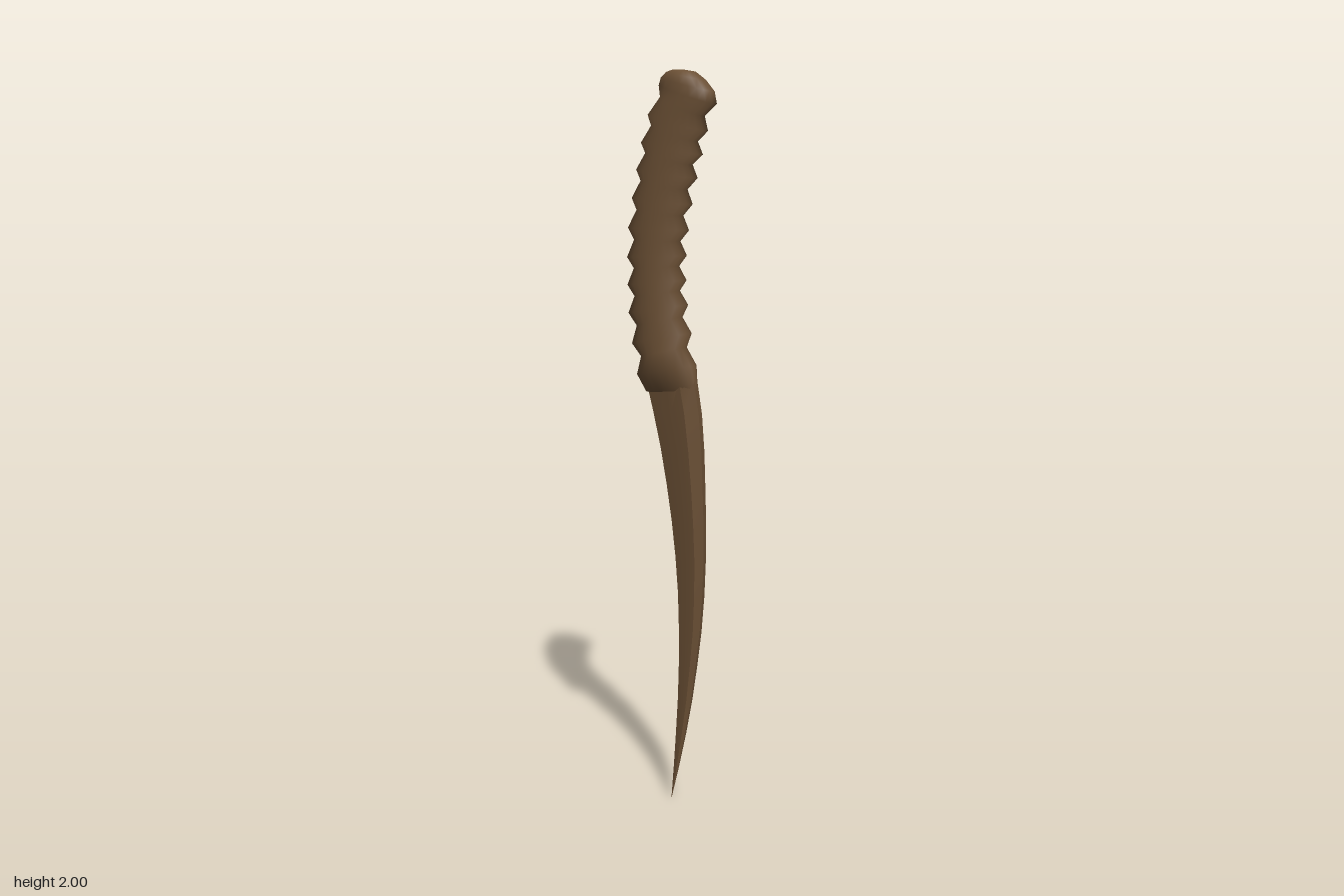
import * as THREE from 'three';
import { toCreasedNormals } from 'three/addons/utils/BufferGeometryUtils.js';

// Skin a row of cross-sections. Each ring is [leftX, leftY, rightX, rightY, halfDepth];
// section holds [across, depth] pairs in -1..1, running from +x towards +z.
function loft(rings, section) {
  const pos = [], idx = [], n = section.length;
  for (const [lx, ly, rx, ry, d] of rings) {
    for (const [u, w] of section) {
      const t = (u + 1) / 2;
      pos.push(lx + (rx - lx) * t, ly + (ry - ly) * t, d * w);
    }
  }
  for (let i = 0; i < rings.length - 1; i++) {
    for (let j = 0; j < n; j++) {
      const a = i * n + j, b = i * n + (j + 1) % n;
      idx.push(a, a + n, b, b, a + n, b + n);
    }
  }
  const geo = new THREE.BufferGeometry();
  geo.setAttribute('position', new THREE.Float32BufferAttribute(pos, 3));
  geo.setIndex(idx);
  geo.computeVertexNormals();
  return geo;
}

export function createModel() {
  const group = new THREE.Group();
  const horn = new THREE.MeshStandardMaterial({ color: 0x6b5035 });
  horn.name = 'horn brown';

  // Curved blade: sharp edge on -x, blunt spine on +x
  const bladeSection = [[1, 0.4], [0.5, 1], [-0.1, 0.75], [-1, 0], [-0.1, -0.75], [0.5, -1], [1, -0.4]];
  const outline = [ // y, left x, right x, half depth
    [0, 0, 0, 0], [0.1, 0.008, 0.024, 0.005], [0.2, 0.015, 0.046, 0.008], [0.3, 0.021, 0.065, 0.01],
    [0.4, 0.024, 0.08, 0.012], [0.5, 0.024, 0.093, 0.013], [0.6, 0.021, 0.101, 0.015],
    [0.7, 0.013, 0.105, 0.016], [0.8, 0.001, 0.105, 0.018], [0.9, -0.015, 0.102, 0.019],
    [1, -0.034, 0.098, 0.021], [1.1, -0.058, 0.09, 0.022], [1.19, -0.082, 0.075, 0.022],
  ];
  const bladeGeo = loft(outline.map(([y, l, r, d]) => [l, y, r, y, d]), bladeSection);
  const blade = new THREE.Mesh(toCreasedNormals(bladeGeo, 0.45), horn);
  blade.name = 'blade';
  group.add(blade);

  // Ridged grip: crests paired left and right, with a shallower ring between each
  const crests = [
    [-0.103, 1.197, 0.073, 1.23], [-0.119, 1.28, 0.058, 1.315], [-0.13, 1.362, 0.047, 1.39],
    [-0.133, 1.438, 0.042, 1.455], [-0.134, 1.512, 0.043, 1.52], [-0.131, 1.591, 0.05, 1.586],
    [-0.119, 1.67, 0.061, 1.654], [-0.105, 1.745, 0.076, 1.722], [-0.09, 1.815, 0.092, 1.782],
    [-0.069, 1.887, 0.107, 1.842], [-0.035, 1.962, 0.133, 1.91],
  ];
  const depth = (i) => 0.052 - 0.01 * i / (crests.length - 1);
  const rings = [[-0.079, 1.15, 0.082, 1.165, 0.02]];
  crests.forEach((c, i) => {
    rings.push([...c, depth(i)]);
    const next = crests[i + 1];
    if (!next) return;
    const m = c.map((v, k) => (v + next[k]) / 2);
    rings.push([m[0] + 0.022, m[1] + 0.008, m[2] - 0.024, m[3] + 0.004, depth(i + 0.5)]);
  });
  // Rounded pommel top
  rings.push([-0.028, 1.982, 0.126, 1.942, 0.042], [-0.012, 1.995, 0.1, 1.972, 0.037],
    [0.005, 2, 0.07, 1.994, 0.025], [0.035, 2, 0.035, 2, 0]);

  const oval = Array.from({ length: 20 }, (_, j) => {
    const t = j / 20 * Math.PI * 2;
    return [Math.cos(t), Math.sin(t)];
  });
  const grip = new THREE.Mesh(loft(rings, oval), horn);
  grip.name = 'ridgedGrip';
  group.add(grip);

  return group;
}
